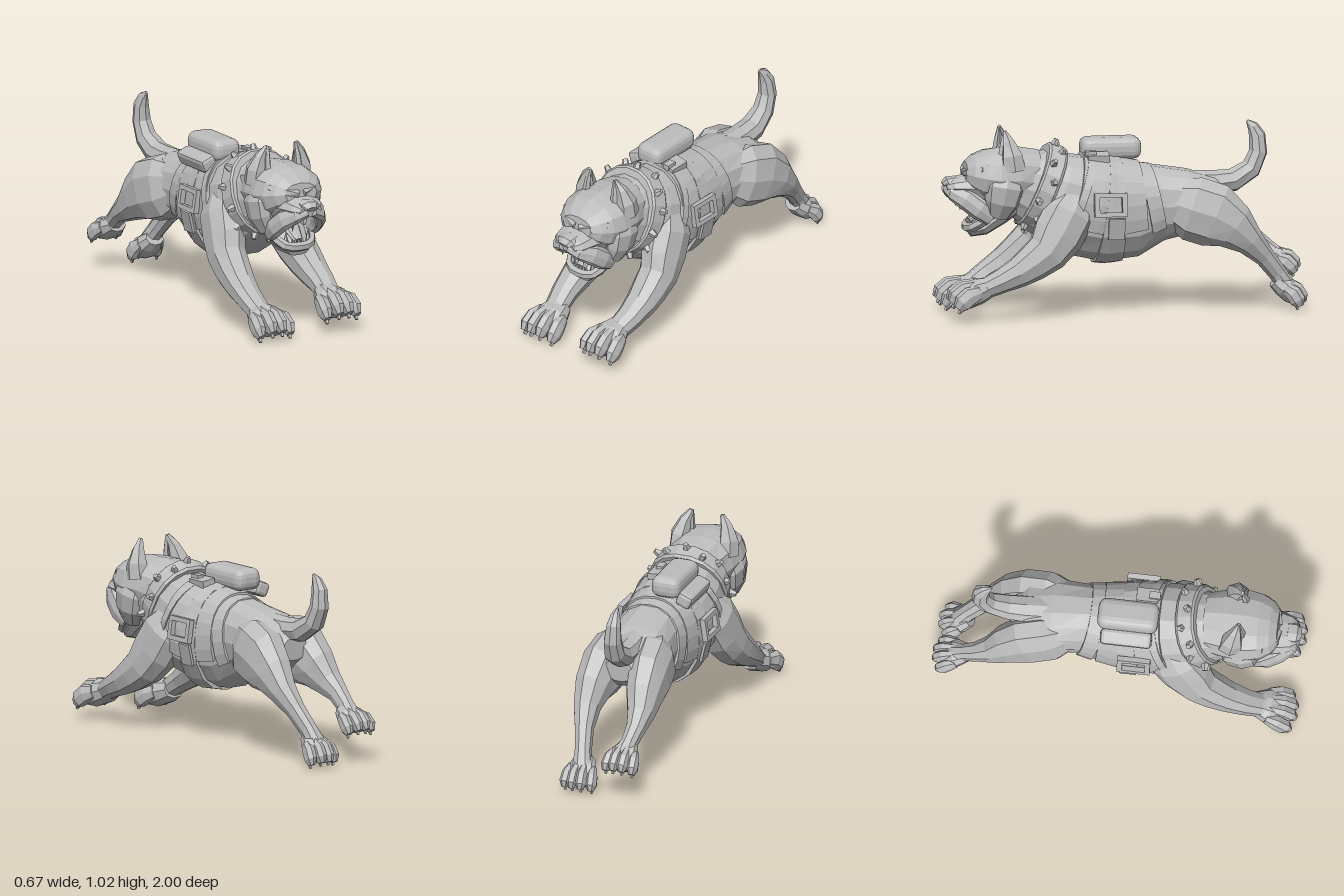
import * as THREE from 'three';
import { RoundedBoxGeometry } from 'three/addons/geometries/RoundedBoxGeometry.js';

const grey = new THREE.MeshStandardMaterial({ color: 0xbcbcbc, flatShading: true, side: THREE.DoubleSide });
grey.name = 'stone grey';

function add(parent, name, geometry, x = 0, y = 0, z = 0) {
  const mesh = new THREE.Mesh(geometry, grey);
  mesh.name = name;
  mesh.position.set(x, y, z);
  parent.add(mesh);
  return mesh;
}

// Slightly squared sine or cosine, for fuller sections
const full = v => Math.sign(v) * Math.abs(v) ** 0.9;

// Capped loft through rounded sections [x, y, z, radius across, radius in depth]
function loft(rings, sides = 10, from = 0, to = Math.PI * 2) {
  const pos = [], index = [], n = sides + 1;
  const at = i => new THREE.Vector3(...rings[i].slice(0, 3));
  rings.forEach((r, i) => {
    const t = at(Math.min(i + 1, rings.length - 1)).sub(at(Math.max(i - 1, 0))).normalize();
    const s = new THREE.Vector3(1, 0, 0).addScaledVector(t, -t.x).normalize();
    const u = t.clone().cross(s);
    for (let j = 0; j < n; j++) {
      const a = from + (to - from) * j / sides;
      const p = at(i).addScaledVector(s, full(Math.cos(a)) * r[3]).addScaledVector(u, full(Math.sin(a)) * r[4]);
      pos.push(p.x, p.y, p.z);
    }
  });
  const last = (rings.length - 1) * n, c0 = rings.length * n, c1 = c0 + 1;
  pos.push(...rings[0].slice(0, 3), ...rings[rings.length - 1].slice(0, 3));
  for (let j = 0; j < sides; j++) {
    for (let k = j; k < last; k += n) index.push(k, k + 1, k + n, k + 1, k + n + 1, k + n);
    index.push(c0, j + 1, j, c1, last + j, last + j + 1);
  }
  const g = new THREE.BufferGeometry();
  g.setAttribute('position', new THREE.Float32BufferAttribute(pos, 3));
  g.setIndex(index);
  g.computeVertexNormals();
  return g;
}

const tube = (pts, radius) => new THREE.TubeGeometry(
  new THREE.CatmullRomCurve3(pts.map(p => new THREE.Vector3(...p))), 12, radius, 6);

// Torso sections: z, bottom, top, half width
const BODY = [
  [-0.58, 0.53, 0.66, 0.08], [-0.5, 0.47, 0.725, 0.17], [-0.36, 0.42, 0.77, 0.2],
  [-0.2, 0.385, 0.8, 0.182], [-0.05, 0.3, 0.825, 0.2], [0.1, 0.28, 0.845, 0.222],
  [0.25, 0.315, 0.865, 0.235], [0.38, 0.39, 0.89, 0.225], [0.5, 0.48, 0.91, 0.185], [0.62, 0.58, 0.88, 0.16],
];
function bodyAt(z, grow = 0) {
  let i = 0;
  while (i < BODY.length - 2 && BODY[i + 1][0] < z) i++;
  const a = BODY[i], b = BODY[i + 1], k = (z - a[0]) / (b[0] - a[0]);
  const [lo, hi, w] = [1, 2, 3].map(m => a[m] + (b[m] - a[m]) * k);
  return [0, (lo + hi) / 2, z, w + grow, (hi - lo) / 2 + grow];
}
function band(parent, name, z0, z1, grow, from, to) {
  const zs = [0, 1, 2, 3].map(i => z0 + (z1 - z0) * i / 3);
  return add(parent, name, loft(zs.map(z => bodyAt(z, grow)), 16, from, to));
}

// Chunky paw with four toes and short claws, facing along dir
function paw(parent, name, place, dir, size) {
  const g = new THREE.Group();
  g.name = name;
  g.position.set(...place);
  g.scale.setScalar(size);
  g.lookAt(...place.map((v, i) => v + dir[i]));
  add(g, 'palm', loft([[0, 0, -0.1, 0.06, 0.05], [0, 0, -0.03, 0.09, 0.068], [0, -0.015, 0.05, 0.085, 0.06],
    [0, -0.03, 0.085, 0.06, 0.035]], 9));
  for (const i of [-1.5, -0.5, 0.5, 1.5]) {
    const b = Math.abs(i) > 1 ? -0.018 : 0.008, back = Math.abs(i) > 1 ? -0.015 : 0;
    add(g, 'toe', loft([[i * 0.046, 0.02 + b, -0.03, 0.024, 0.035], [i * 0.054, 0.02 + b, 0.04 + back, 0.033, 0.05],
      [i * 0.058, 0 + b, 0.09 + back, 0.033, 0.048], [i * 0.058, -0.02 + b, 0.12 + back, 0.019, 0.026]], 7));
    add(g, 'claw', loft([[i * 0.058, -0.025 + b, 0.1 + back, 0.014, 0.018], [i * 0.058, -0.045 + b, 0.124 + back, 0.008, 0.008]], 5));
  }
  parent.add(g);
}

function buildHead(dog) {
  const head = new THREE.Group();
  head.name = 'head';
  dog.add(head);
  add(head, 'skull', loft([[0, 0.74, 0.5, 0.165, 0.165], [0, 0.76, 0.59, 0.19, 0.16], [0, 0.765, 0.7, 0.2, 0.155],
    [0, 0.775, 0.78, 0.185, 0.135], [0, 0.785, 0.84, 0.15, 0.098], [0, 0.79, 0.875, 0.1, 0.055]], 12));
  add(head, 'muzzle', loft([[0, 0.7, 0.74, 0.15, 0.085], [0, 0.715, 0.86, 0.125, 0.063],
    [0, 0.714, 0.94, 0.105, 0.046], [0, 0.71, 0.978, 0.07, 0.03]], 10));
  add(head, 'nose', loft([[0, 0.745, 0.92, 0.06, 0.024], [0, 0.737, 0.968, 0.06, 0.028], [0, 0.722, 0.99, 0.035, 0.018]], 7));
  add(head, 'lowerJaw', loft([[0, 0.63, 0.6, 0.14, 0.07], [0, 0.56, 0.69, 0.13, 0.065],
    [0, 0.487, 0.78, 0.1, 0.048], [0, 0.462, 0.85, 0.065, 0.028]], 10));
  add(head, 'lowerLip', tube([[-0.125, 0.6, 0.71], [-0.11, 0.535, 0.785], [-0.075, 0.495, 0.845], [0, 0.488, 0.862],
    [0.075, 0.495, 0.845], [0.11, 0.535, 0.785], [0.125, 0.6, 0.71]], 0.026));
  add(head, 'tongue', loft([[0, 0.61, 0.68, 0.055, 0.03], [0, 0.575, 0.77, 0.052, 0.022], [0, 0.52, 0.845, 0.03, 0.012]], 8));
  for (const s of [-1, 1]) {
    // Drooping upper lip and heavy cheek
    add(head, 'upperLip', loft([[s * 0.015, 0.705, 0.972, 0.025, 0.025], [s * 0.07, 0.69, 0.945, 0.033, 0.045],
      [s * 0.112, 0.655, 0.88, 0.033, 0.058], [s * 0.13, 0.6, 0.81, 0.032, 0.058], [s * 0.122, 0.55, 0.745, 0.028, 0.045]], 8));
    add(head, 'cheek', loft([[s * 0.13, 0.8, 0.66, 0.05, 0.08], [s * 0.145, 0.72, 0.675, 0.07, 0.11],
      [s * 0.14, 0.64, 0.69, 0.062, 0.095], [s * 0.115, 0.56, 0.71, 0.04, 0.06]], 8));
    add(head, 'brow', loft([[s * 0.015, 0.785, 0.87, 0.02, 0.025], [s * 0.08, 0.8, 0.855, 0.03, 0.024],
      [s * 0.145, 0.82, 0.785, 0.025, 0.022]], 6));
    add(head, 'eye', new THREE.IcosahedronGeometry(0.018, 1), s * 0.095, 0.772, 0.85);
    // Broad ear blade with a folded inner rim
    add(head, 'ear', loft([[s * 0.145, 0.81, 0.625, 0.056, 0.07], [s * 0.142, 0.89, 0.635, 0.054, 0.06],
      [s * 0.12, 0.965, 0.65, 0.034, 0.033], [s * 0.09, 1.02, 0.665, 0.014, 0.008]], 6));
    add(head, 'earRim', loft([[s * 0.1, 0.87, 0.685, 0.023, 0.024], [s * 0.095, 0.95, 0.677, 0.018, 0.017],
      [s * 0.087, 1.02, 0.668, 0.008, 0.006]], 5));
    for (const [x, y, z, turn] of [[0.075, 0.63, 0.91, Math.PI], [0.07, 0.535, 0.83, 0]]) {
      add(head, 'fang', new THREE.ConeGeometry(0.02, 0.085, 5), s * x, y, z).rotation.x = turn;
    }
  }
  for (let i = -2; i <= 2; i++) add(head, 'lowerTooth', new THREE.ConeGeometry(0.011, 0.03, 4), i * 0.022, 0.522, 0.852);
}

function buildHarness(dog) {
  const harness = new THREE.Group();
  harness.name = 'harness';
  dog.add(harness);
  band(harness, 'vest', -0.1, 0.29, 0.012, -0.35, Math.PI + 0.35);
  band(harness, 'rearStrap', -0.19, -0.11, 0.01, -0.5, Math.PI + 0.5);
  band(harness, 'bellyStrap', 0.02, 0.13, 0.016);
  band(harness, 'frontTrim', 0.26, 0.3, 0.018, -0.3, Math.PI + 0.3);
  // Square side buckles
  const frame = new THREE.Shape([[-0.09, -0.065], [0.09, -0.065], [0.09, 0.065], [-0.09, 0.065]].map(p => new THREE.Vector2(...p)));
  frame.holes.push(new THREE.Path([[-0.062, -0.04], [-0.062, 0.04], [0.062, 0.04], [0.062, -0.04]].map(p => new THREE.Vector2(...p))));
  const buckle = new THREE.ExtrudeGeometry(frame, { depth: 0.03, bevelEnabled: false }).translate(0, 0, -0.015).rotateY(Math.PI / 2);
  for (const s of [-1, 1]) {
    add(harness, 'buckle', buckle, s * 0.25, 0.625, 0.11).rotation.z = s * 0.15;
    add(harness, 'strapTab', new THREE.BoxGeometry(0.015, 0.12, 0.09), s * 0.238, 0.49, 0.075).rotation.z = -s * 0.22;
  }
  // Back pack, side pouch and top clip
  add(harness, 'pack', new RoundedBoxGeometry(0.165, 0.12, 0.33, 2, 0.045), -0.065, 0.89, 0.06);
  add(harness, 'pouch', new RoundedBoxGeometry(0.09, 0.08, 0.28, 1, 0.02), -0.17, 0.825, 0.06).rotation.z = 0.4;
  add(harness, 'clip', new THREE.BoxGeometry(0.08, 0.04, 0.12), 0.07, 0.86, 0.15).rotation.z = -0.15;
  add(harness, 'clipBar', new THREE.BoxGeometry(0.04, 0.03, 0.06), 0.07, 0.88, 0.19);

  // Tilted collar ringed with blunt studs
  const collar = new THREE.Group();
  collar.name = 'collar';
  collar.position.set(0, 0.7, 0.455);
  collar.rotation.x = -0.407;
  dog.add(collar);
  add(collar, 'collarBand', loft([[0, 0, -0.055, 0.215, 0.236], [0, 0, -0.04, 0.224, 0.246],
    [0, 0, 0.04, 0.21, 0.24], [0, 0, 0.05, 0.2, 0.228]], 18));
  for (let i = 0; i < 14; i++) {
    const a = (i + 0.5) / 14 * Math.PI * 2, side = i % 2 ? 0.018 : -0.018;
    const stud = add(collar, 'stud', new THREE.CylinderGeometry(0.014, 0.024, 0.04, 5),
      full(Math.cos(a)) * 0.226, full(Math.sin(a)) * 0.25, side);
    stud.rotation.z = a - Math.PI / 2;
  }
}

export function createModel() {
  const dog = new THREE.Group();
  dog.name = 'leapingDog';
  add(dog, 'torso', loft(BODY.map(b => bodyAt(b[0])), 14));
  buildHead(dog);
  buildHarness(dog);

  // Reaching front legs with bulging elbows; the right one hangs lower
  for (const s of [-1, 1]) {
    const d = s < 0 ? 0.05 : 0;
    add(dog, 'frontLeg', loft([[s * 0.14, 0.66, 0.28, 0.08, 0.1], [s * 0.175, 0.57, 0.33, 0.112, 0.145],
      [s * 0.2, 0.46, 0.395, 0.105, 0.145], [s * 0.218, 0.37, 0.46, 0.1, 0.118], [s * 0.225, 0.315 - d * 0.2, 0.54, 0.095, 0.102],
      [s * 0.23, 0.265 - d * 0.3, 0.62, 0.085, 0.083], [s * 0.23, 0.222 - d * 0.5, 0.71, 0.074, 0.066],
      [s * 0.22, 0.185 - d * 0.8, 0.79, 0.066, 0.057], [s * 0.213, 0.17 - d, 0.86, 0.072, 0.053]], 9));
    paw(dog, 'frontPaw', [s * 0.21, 0.16 - d, 0.865], [0, -0.3, 1], 1.07);
  }

  // Trailing hind legs; the left one hangs lower
  const hindStart = s => [[s * 0.09, 0.61, -0.25, 0.08, 0.12], [s * 0.12, 0.575, -0.36, 0.115, 0.18],
    [s * 0.138, 0.535, -0.48, 0.113, 0.18], [s * 0.15, 0.47, -0.585, 0.098, 0.13]];
  add(dog, 'hindLegLeft', loft([...hindStart(1), [0.15, 0.39, -0.67, 0.074, 0.082], [0.13, 0.3, -0.755, 0.052, 0.056],
    [0.105, 0.205, -0.83, 0.046, 0.05], [0.09, 0.135, -0.88, 0.056, 0.048]], 9));
  paw(dog, 'hindPawLeft', [0.09, 0.11, -0.89], [0, -0.6, -0.8], 0.88);
  add(dog, 'hindLegRight', loft([...hindStart(-1), [-0.165, 0.4, -0.67, 0.074, 0.082], [-0.17, 0.35, -0.75, 0.054, 0.056],
    [-0.163, 0.295, -0.82, 0.046, 0.05], [-0.155, 0.25, -0.88, 0.056, 0.048]], 9));
  paw(dog, 'hindPawRight', [-0.155, 0.24, -0.888], [0, -0.4, -0.9], 0.88);

  // Upswept tail
  add(dog, 'tail', loft([[-0.015, 0.7, -0.38, 0.075, 0.06], [-0.018, 0.69, -0.5, 0.075, 0.066], [-0.022, 0.7, -0.61, 0.07, 0.064],
    [-0.03, 0.76, -0.71, 0.058, 0.057], [-0.035, 0.85, -0.75, 0.05, 0.05], [-0.04, 0.94, -0.745, 0.04, 0.045],
    [-0.04, 0.99, -0.72, 0.026, 0.03], [-0.04, 1.02, -0.69, 0.006, 0.008]], 8));
  return dog;
}
